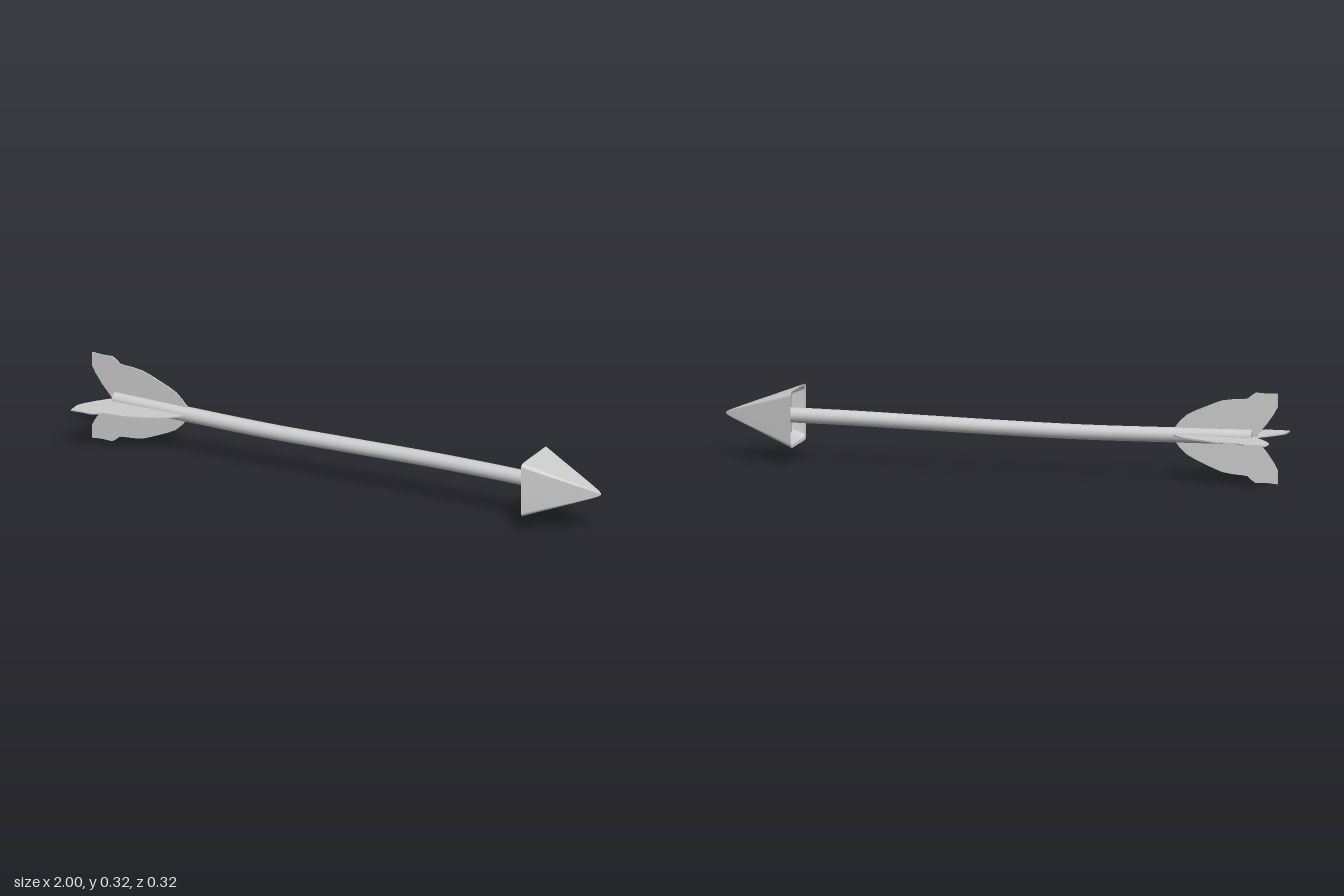
import * as THREE from 'three';
import { toCreasedNormals } from 'three/addons/utils/BufferGeometryUtils.js';

const AXIS_Y = 0.162;
const material = new THREE.MeshStandardMaterial({ color: 0xcccccc });
const thinMaterial = new THREE.MeshStandardMaterial({ color: 0xcccccc, side: THREE.DoubleSide });

function part(name, geometry, mat = material) {
  const mesh = new THREE.Mesh(geometry, mat);
  mesh.name = name;
  return mesh;
}

// Unit square with rounded corners, as [z, y] points
function roundedSquare(radius, steps) {
  const points = [];
  for (let corner = 0; corner < 4; corner++) {
    const mid = Math.PI / 4 + corner * Math.PI / 2;
    const cz = Math.sign(Math.cos(mid)) * (1 - radius);
    const cy = Math.sign(Math.sin(mid)) * (1 - radius);
    for (let i = 0; i <= steps; i++) {
      const a = corner * Math.PI / 2 + (i / steps) * Math.PI / 2;
      points.push([cz + radius * Math.cos(a), cy + radius * Math.sin(a)]);
    }
  }
  return points;
}

// Skin through scaled copies of the ring at stations [x, half width]; faces
// outward when x increases, inward when x decreases
function loft(stations, ring) {
  const position = [], index = [], n = ring.length;
  for (const [x, half] of stations) {
    for (const [z, y] of ring) position.push(x, y * half, z * half);
  }
  for (let s = 0; s < stations.length - 1; s++) {
    for (let i = 0; i < n; i++) {
      const a = s * n + i, b = s * n + (i + 1) % n;
      index.push(a, a + n, b, b, a + n, b + n);
    }
  }
  const geometry = new THREE.BufferGeometry();
  geometry.setAttribute('position', new THREE.Float32BufferAttribute(position, 3));
  geometry.setIndex(index);
  geometry.computeVertexNormals();
  return geometry;
}

// Slightly bowed round shaft with closed ends
function createShaft() {
  const group = new THREE.Group();
  group.name = 'shaft';
  const curve = new THREE.CatmullRomCurve3([
    [-0.91, 0.002, 0], [-0.65, -0.003, 0], [-0.3, -0.008, -0.004], [0, -0.005, -0.01],
    [0.3, 0, -0.013], [0.55, 0.003, -0.009], [0.79, 0.003, -0.003],
  ].map(p => new THREE.Vector3(...p)));
  const radius = 0.027;
  group.add(part('shaftRod', new THREE.TubeGeometry(curve, 40, radius, 16)));
  for (const t of [0, 1]) {
    const cap = part('shaftEnd', new THREE.CircleGeometry(radius, 16));
    cap.position.copy(curve.getPoint(t));
    cap.rotation.y = t ? Math.PI / 2 : -Math.PI / 2;
    group.add(cap);
  }
  return group;
}

// Four-sided head with a blunt point and a recessed back
function createHead() {
  const group = new THREE.Group();
  group.name = 'head';
  const ring = roundedSquare(0.16, 4);
  group.add(part('headPoint', loft([
    [0.737, 0.1], [0.82, 0.07], [0.91, 0.038], [0.97, 0.016], [0.99, 0.008], [0.998, 0.003], [1, 0],
  ], ring)));
  group.add(part('headRecess', toCreasedNormals(
    loft([[0.78, 0], [0.78, 0.072], [0.74, 0.09], [0.737, 0.1]], ring), 0.5)));
  return group;
}

// Thin feather vane with a ragged outer edge and a notched tail
function createVaneGeometry() {
  const outline = [
    [-0.627, 0], [-0.627, 0.024], [-0.645, 0.047], [-0.67, 0.07], [-0.70, 0.086], [-0.73, 0.099],
    [-0.77, 0.116], [-0.80, 0.127], [-0.84, 0.133], [-0.865, 0.134], [-0.89, 0.137],
    [-0.905, 0.15], [-0.92, 0.16], [-0.96, 0.158], [-1, 0.161], [-1, 0.113],
    [-0.985, 0.085], [-0.96, 0.05], [-0.92, 0.003], [-0.92, 0],
  ];
  const shape = new THREE.Shape(outline.map(p => new THREE.Vector2(...p)));
  const geometry = new THREE.ExtrudeGeometry(shape, { depth: 0.005, bevelEnabled: false });
  return geometry.translate(0, 0, -0.0025);
}

export function createModel() {
  const arrow = new THREE.Group();
  arrow.name = 'arrow';
  arrow.position.y = AXIS_Y;
  arrow.add(createShaft(), createHead());

  // Four vanes at right angles around the tail
  const fletching = new THREE.Group();
  fletching.name = 'fletching';
  const vaneGeometry = createVaneGeometry();
  for (let i = 0; i < 4; i++) {
    const vane = part('vane', vaneGeometry, thinMaterial);
    vane.rotation.x = i * Math.PI / 2;
    fletching.add(vane);
  }
  arrow.add(fletching);

  const model = new THREE.Group();
  model.name = 'model';
  model.add(arrow);
  return model;
}
